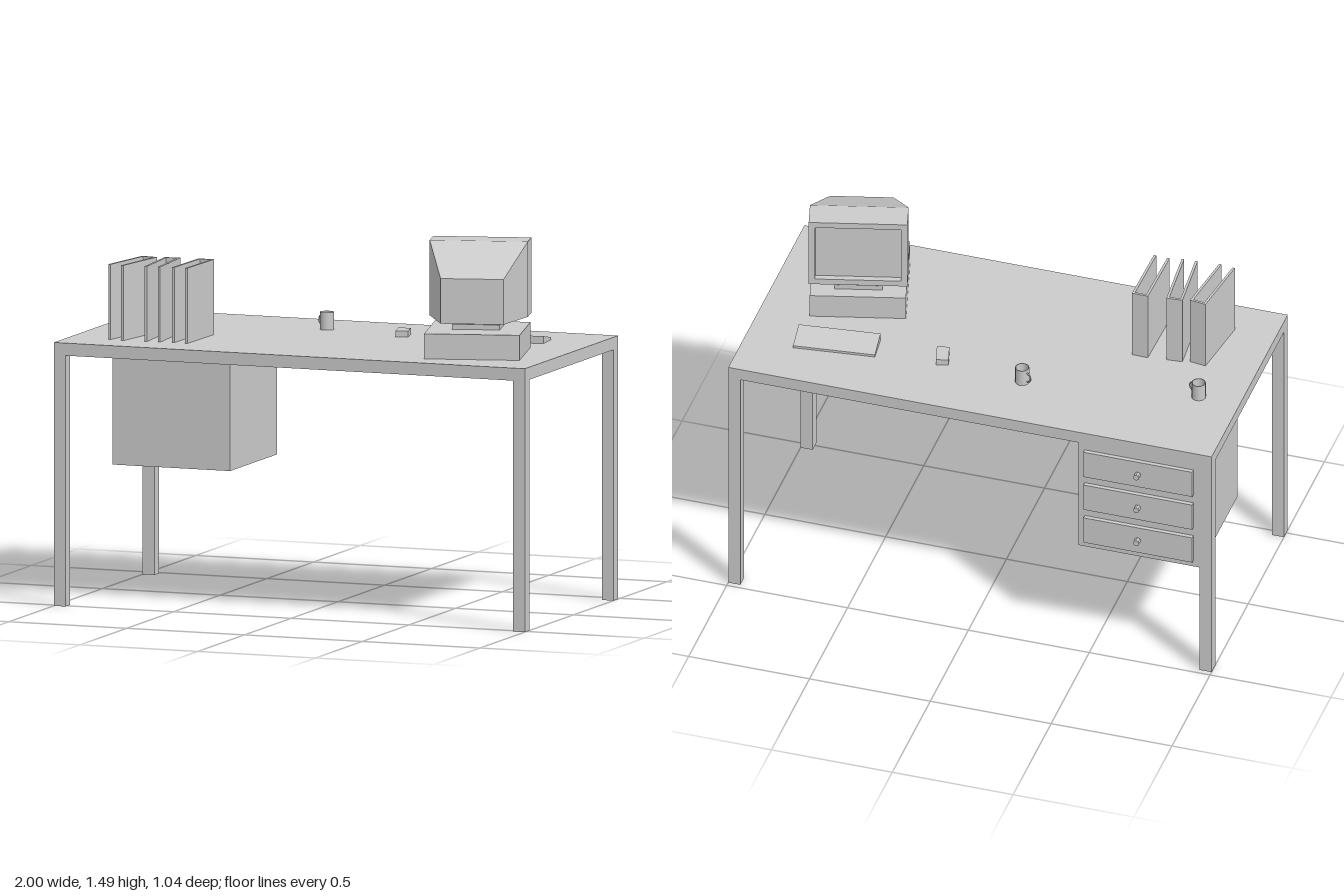
import * as THREE from 'three';

const mat = new THREE.MeshStandardMaterial({ color: 0xcccccc, flatShading: true });
const smooth = new THREE.MeshStandardMaterial({ color: 0xcccccc, side: THREE.DoubleSide });

function add(parent, name, geo, x = 0, y = 0, z = 0, material = mat) {
  const m = new THREE.Mesh(geo, material);
  m.name = name;
  m.position.set(x, y, z);
  parent.add(m);
  return m;
}

// Box given by its limits on each axis
function box(parent, name, [x0, x1], [y0, y1], [z0, z1]) {
  return add(parent, name, new THREE.BoxGeometry(x1 - x0, y1 - y0, z1 - z0),
    (x0 + x1) / 2, (y0 + y1) / 2, (z0 + z1) / 2);
}

function group(parent, name, x, y, z, turn = 0) {
  const g = new THREE.Group();
  g.name = name;
  g.position.set(x, y, z);
  g.rotation.y = turn;
  parent.add(g);
  return g;
}

const TOP = 1.05;

function addDesk(root) {
  const desk = group(root, 'desk', 0, 0, 0.02);
  box(desk, 'deskTop', [-1, 1], [1, TOP], [-0.5, 0.5]);
  for (const sx of [-1, 1]) for (const sz of [-1, 1])
    add(desk, 'leg', new THREE.BoxGeometry(0.05, 1, 0.05), sx * 0.975, 0.5, sz * 0.475);

  // Drawer cabinet with three fronts and knobs
  const cabinet = group(root, 'drawerCabinet', -0.7, 0, 0);
  box(cabinet, 'cabinetBody', [-0.25, 0.25], [0.5, 1], [-0.48, 0.02]);
  for (const y of [0.59, 0.75, 0.91]) {
    box(cabinet, 'drawerFront', [-0.225, 0.225], [y - 0.06, y + 0.06], [-0.497, -0.48]);
    const knob = new THREE.CylinderGeometry(0.0125, 0.0125, 0.024, 8).rotateX(Math.PI / 2);
    add(cabinet, 'drawerKnob', knob, 0, y, -0.508);
  }
}

function addComputer(root) {
  const pc = group(root, 'computer', 0.6625, TOP, 0.1775, THREE.MathUtils.degToRad(15));
  box(pc, 'computerCase', [-0.19, 0.19], [0, 0.1], [-0.19, 0.19]);
  box(pc, 'standPlate', [-0.095, 0.095], [0.1, 0.12], [-0.14, 0.05]);
  box(pc, 'standNeck', [-0.045, 0.045], [0.12, 0.14], [-0.09, 0.0]);

  // Tapering tube housing behind the bezel
  const housing = new THREE.BoxGeometry(0.39, 0.3, 0.23);
  const p = housing.attributes.position;
  for (let i = 0; i < p.count; i++) if (p.getZ(i) > 0) {
    p.setX(i, Math.sign(p.getX(i)) * 0.125);
    if (p.getY(i) > 0) p.setY(i, 0.03);
  }
  add(pc, 'monitorHousing', housing, 0, 0.29, 0.065);

  // Bezel frame around the recessed screen
  const frame = new THREE.Shape([[-0.195, -0.15], [0.195, -0.15], [0.195, 0.15], [-0.195, 0.15]]
    .map(([x, y]) => new THREE.Vector2(x, y)));
  frame.holes.push(new THREE.Path([[-0.17, -0.125], [-0.17, 0.125], [0.17, 0.125], [0.17, -0.125]]
    .map(([x, y]) => new THREE.Vector2(x, y))));
  add(pc, 'monitorBezel', new THREE.ExtrudeGeometry(frame, { depth: 0.117, bevelEnabled: false }),
    0, 0.29, -0.167);
  box(pc, 'screen', [-0.17, 0.17], [0.165, 0.415], [-0.142, -0.05]);
}

function addKeyboardAndMouse(root) {
  // Wedge, taller towards the screen
  const wedge = new THREE.BoxGeometry(0.329, 0.03, 0.118);
  const p = wedge.attributes.position;
  for (let i = 0; i < p.count; i++) if (p.getY(i) > 0 && p.getZ(i) < 0) p.setY(i, -0.005);
  add(root, 'keyboard', wedge, 0.639, TOP + 0.015, -0.2).rotation.y = 0.115;
  add(root, 'mouse', new THREE.BoxGeometry(0.05, 0.025, 0.088), 0.211, TOP + 0.0125, -0.168)
    .rotation.y = 0.26;
}

function addMug(root, x, z, turn) {
  const mug = group(root, 'mug', x, TOP, z, turn);
  const profile = [[0, 0], [0.028, 0], [0.028, 0], [0.028, 0.07], [0.028, 0.07], [0.025, 0.07],
    [0.025, 0.07], [0.025, 0.005], [0.025, 0.005], [0, 0.005]];
  add(mug, 'mugBody', new THREE.LatheGeometry(profile.map(([r, y]) => new THREE.Vector2(r, y)), 16),
    0, 0, 0, smooth);
  const handle = new THREE.TorusGeometry(0.02, 0.003, 6, 12, Math.PI).rotateZ(-Math.PI / 2);
  add(mug, 'mugHandle', handle, 0.028, 0.035, 0, smooth);
}

// Open binder: a spine at the back and two covers
function addBinder(root, x, z, width, turn) {
  const b = group(root, 'binder', x, TOP, z, turn);
  const w = width / 2, t = 0.01;
  box(b, 'binderSpine', [-w, w], [0, 0.3], [0, t]);
  for (const s of [-1, 1])
    add(b, 'binderCover', new THREE.BoxGeometry(t, 0.3, 0.27 - t), s * (w - t / 2), 0.15, 0.135 + t / 2);
}

export function createModel() {
  const root = new THREE.Group();
  root.name = 'officeDesk';
  addDesk(root);
  addComputer(root);
  addKeyboardAndMouse(root);
  addMug(root, -0.135, -0.222, Math.PI - 0.5);
  addMug(root, -0.83, -0.11, -0.45);
  addBinder(root, -0.76, 0.1, 0.068, -0.137);
  addBinder(root, -0.666, 0.092, 0.065, 0.08);
  addBinder(root, -0.527, 0.08, 0.066, -0.02);
  return root;
}
